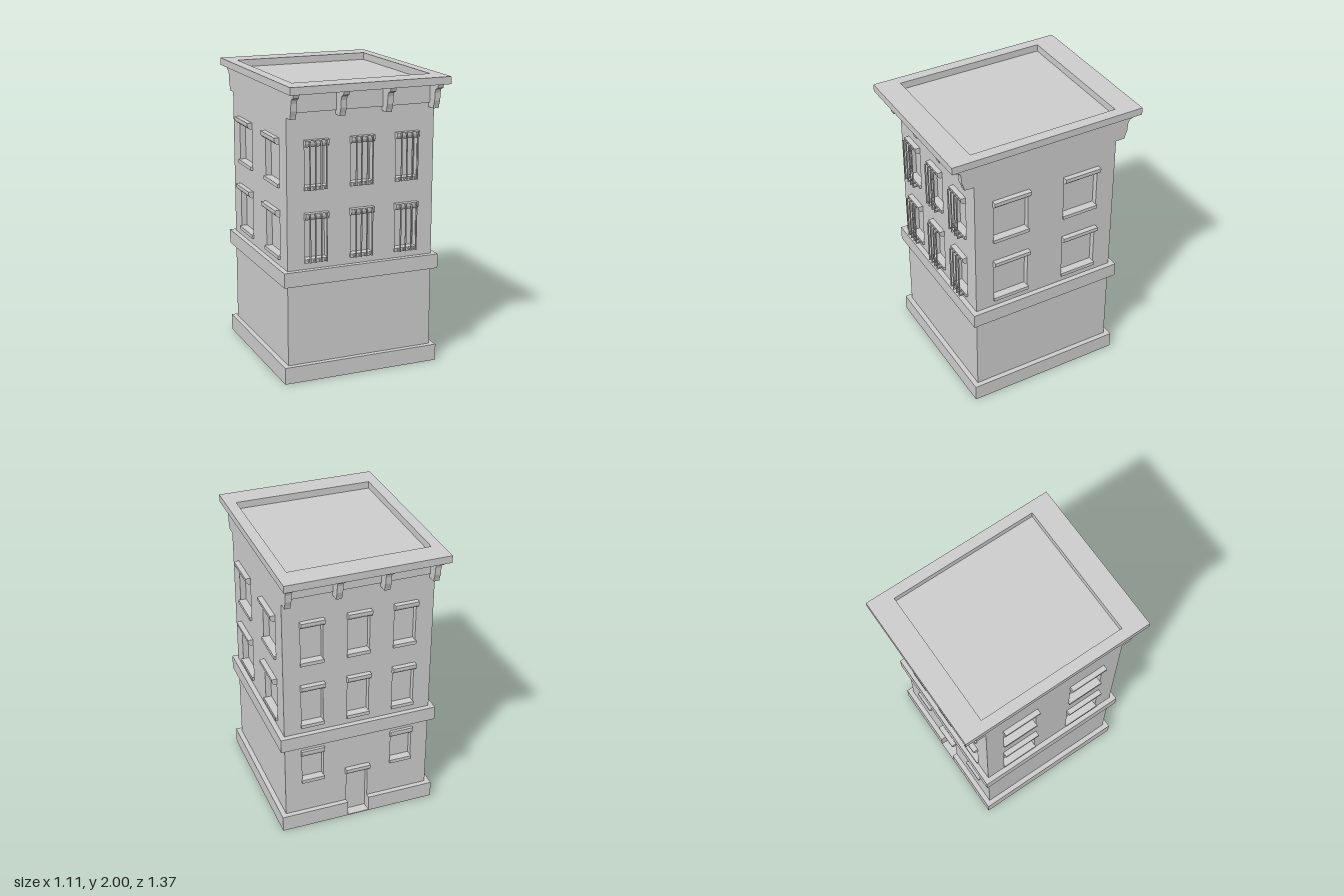
import * as THREE from 'three';

const mat = new THREE.MeshStandardMaterial({ color: 0xcccccc, flatShading: true, side: THREE.DoubleSide });
const WALL = 0.52, BAND = 0.555, REVEAL = 0.04;

function add(parent, name, geo, x = 0, y = 0, z = 0) {
  const m = new THREE.Mesh(geo, mat);
  m.name = name;
  m.position.set(x, y, z);
  parent.add(m);
  return m;
}

// Box without some faces (0..5 = +x -x +y -y +z -z)
function openBox(w, h, d, skip) {
  const g = new THREE.BoxGeometry(w, h, d);
  const src = Array.from(g.index.array);
  g.setIndex(src.filter((_, i) => !skip.includes(Math.floor(i / 6))));
  return g;
}

// Profile of [out, up] points swept along x and centred on it
function sweep(points, length) {
  const shape = new THREE.Shape(points.map(p => new THREE.Vector2(...p)));
  const g = new THREE.ExtrudeGeometry(shape, { depth: length, bevelEnabled: false });
  return g.translate(0, 0, -length / 2).rotateY(-Math.PI / 2);
}

function rect(Type, x0, y0, x1, y1) {
  return new Type([[x0, y0], [x1, y0], [x1, y1], [x0, y1]].map(p => new THREE.Vector2(...p)));
}

// Square skin following a profile of [half width, y] points
function squareSkin(points, start, sides) {
  const pts = points.map(([r, y]) => new THREE.Vector2(r * Math.SQRT2, y));
  return new THREE.LatheGeometry(pts, sides, start, sides * Math.PI / 2);
}

// Moulded lintel, its top at y = 0
const lintel = (w, out) => sweep(
  [[0, 0], [out, 0], [out, -0.02], [out * 0.85, -0.032], [out * 0.55, -0.042], [out * 0.3, -0.046], [0, -0.046]], w);

// Window with recess, lintel, sill and optional bars
function addWindow(face, { x, w, y0, y1, out = 0.035, bars }) {
  const g = new THREE.Group();
  g.name = 'window';
  g.position.set(x, 0, WALL);
  face.add(g);
  const h = y1 - y0 - 0.03;
  add(g, 'windowRecess', openBox(w - 0.012, h, REVEAL, [4]), 0, y0 + 0.01 + h / 2, -REVEAL / 2);
  add(g, 'lintel', lintel(w, out), 0, y1, 0);
  add(g, 'sill', new THREE.BoxGeometry(w - 0.004, 0.025, 0.055), 0, y0 + 0.0125, -0.0125);
  if (!bars) return;
  const t = 0.008, yb = y0 + 0.014, yt = y1 - 0.008;
  for (const bx of [-0.058, -0.02, 0.02, 0.058]) {
    add(g, 'bar', new THREE.BoxGeometry(t, yt - yb + t, t), bx, (yb + yt) / 2, 0.052);
    for (const y of [yb, yt]) add(g, 'barReturn', new THREE.BoxGeometry(t, t, 0.052), bx, y, 0.026);
  }
}

// One side of the building, built facing +z and then turned
function facade(name, angle, windows, door) {
  const face = new THREE.Group();
  face.name = name;
  face.rotation.y = angle;
  const upper = rect(THREE.Shape, -WALL, 0.77, WALL, 1.95);
  const lower = door
    ? new THREE.Shape([[-WALL, 0.115], [-door.w / 2, 0.115], [-door.w / 2, door.h], [door.w / 2, door.h],
      [door.w / 2, 0.115], [WALL, 0.115], [WALL, 0.67], [-WALL, 0.67]].map(p => new THREE.Vector2(...p)))
    : rect(THREE.Shape, -WALL, 0.115, WALL, 0.67);
  for (const win of windows) {
    const hw = win.w / 2 - 0.006;
    const hole = rect(THREE.Path, win.x - hw, win.y0 + 0.01, win.x + hw, win.y1 - 0.02);
    (win.y0 > 0.7 ? upper : lower).holes.push(hole);
    addWindow(face, win);
  }
  add(face, 'upperWall', new THREE.ShapeGeometry(upper), 0, 0, WALL);
  add(face, 'lowerWall', new THREE.ShapeGeometry(lower), 0, 0, WALL);
  return face;
}

export function createModel() {
  const root = new THREE.Group();
  root.name = 'building';
  const floors = [[0.815, 1.15], [1.3, 1.63]];
  const grid = (xs, w, bars) => floors.flatMap(([y0, y1]) => xs.map(x => ({ x, w, y0, y1, bars })));
  const three = [-0.322, 0, 0.322], two = [-0.26, 0.26];
  const door = { w: 0.155, h: 0.37 };

  // Four sides
  const lowWindows = [-0.322, 0.322].map(x => ({ x, w: 0.165, y0: 0.355, y1: 0.625, out: 0.02 }));
  const front = facade('frontSide', 0, grid(three, 0.165, true));
  const back = facade('backSide', Math.PI, [...grid(three, 0.165), ...lowWindows], door);
  root.add(front, back,
    facade('leftSide', Math.PI / 2, grid(two, 0.265)),
    facade('rightSide', -Math.PI / 2, grid(two, 0.265)));

  // Back door, with its threshold running out to the plinth face
  add(back, 'doorRecess', openBox(door.w, door.h, REVEAL, [4]), 0, door.h / 2, WALL - REVEAL / 2);
  add(back, 'doorLintel', lintel(0.175, 0.035), 0, 0.397, WALL);
  add(back, 'threshold', new THREE.BoxGeometry(door.w, 0.006, BAND - WALL), 0, 0.003, (WALL + BAND) / 2);

  // Plinth: three full sides, then two pieces beside the door
  add(root, 'plinth', squareSkin([[BAND, 0], [BAND, 0.115], [WALL, 0.115]], Math.PI * 1.25, 3));
  const len = BAND - door.w / 2;
  for (const s of [-1, 1]) {
    add(back, 'plinthPiece', openBox(len, 0.115, BAND - WALL, [3, 5, s > 0 ? 0 : 1]),
      s * (BAND - len / 2), 0.0575, (WALL + BAND) / 2);
  }

  // Belt course between the storeys
  add(root, 'beltCourse', squareSkin([[WALL, 0.67], [BAND, 0.67], [BAND, 0.77], [WALL, 0.77]], Math.PI / 4, 4));

  // Frieze and brackets below the cornice, front and back
  const bracket = [[0, 1.78], [0.065, 1.78], [0.07, 1.8], [0.083, 1.835], [0.086, 1.885], [0.095, 1.91],
    [0.122, 1.922], [0.132, 1.95], [0, 1.95]];
  for (const face of [front, back]) {
    add(face, 'frieze', new THREE.BoxGeometry(2 * WALL, 0.14, 0.015), 0, 1.88, WALL + 0.0075);
    for (const x of [-0.5, -0.162, 0.162, 0.5]) add(face, 'bracket', sweep(bracket, 0.04), x, 0, WALL);
  }

  // Cornice slab framing the sunken roof
  const slab = rect(THREE.Shape, -BAND, -0.685, BAND, 0.685);
  slab.holes.push(rect(THREE.Path, -0.482, -0.523, 0.482, 0.523));
  const slabGeo = new THREE.ExtrudeGeometry(slab, { depth: 0.05, bevelEnabled: false }).rotateX(-Math.PI / 2);
  add(root, 'cornice', slabGeo, 0, 1.95, 0);
  add(root, 'roof', new THREE.PlaneGeometry(0.964, 1.046).rotateX(-Math.PI / 2), 0, 1.951, 0);
  return root;
}
